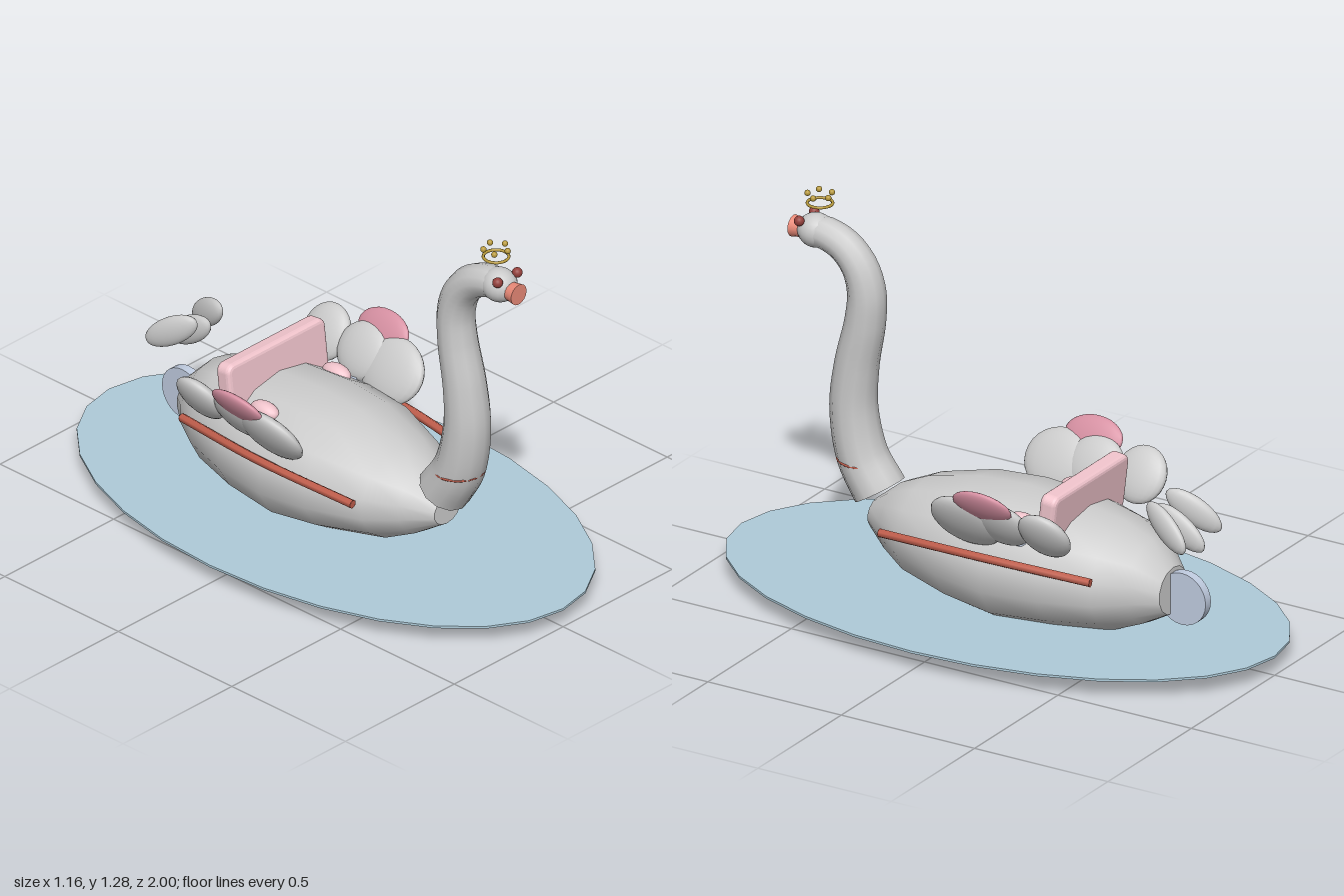
import * as THREE from 'three';

const paint = (color) => new THREE.MeshStandardMaterial({ color, side: THREE.DoubleSide });
const grey = paint(0xcccccc), pink = paint(0xf0c4cc), rose = paint(0xd690a2), red = paint(0xc4604e);
const coral = paint(0xea8a78), darkRed = paint(0x94403c), gold = paint(0xb89a3c);
const water = paint(0xaecbd9), pale = paint(0xc0cce0);

export function createModel() {
  const root = new THREE.Group();
  const add = (name, geometry, material, pos = [0, 0, 0], rot = [0, 0, 0], scale = [1, 1, 1]) => {
    const mesh = new THREE.Mesh(geometry, material);
    mesh.name = name;
    mesh.position.set(...pos);
    mesh.rotation.set(...rot);
    mesh.scale.set(...scale);
    root.add(mesh);
    return mesh;
  };
  const ball = new THREE.SphereGeometry(1, 20, 14);
  const V = (x, y, z) => new THREE.Vector3(x, y, z);

  // Water disc
  add('water', new THREE.CylinderGeometry(1, 1, 0.008, 28), water, [0, 0.066, 0], [0, 0, 0], [0.58, 1, 1]);

  // Hull: 14-sided sections from stern to bow
  add('body', hull([
    // z, bottom, top, half width
    [-0.62, 0.13, 0.29, 0.085], [-0.54, 0.085, 0.37, 0.155], [-0.44, 0.045, 0.41, 0.215],
    [-0.27, 0.022, 0.44, 0.268], [-0.07, 0.003, 0.452, 0.287], [0.11, 0.03, 0.44, 0.268],
    [0.30, 0.068, 0.395, 0.2], [0.4, 0.117, 0.35, 0.135], [0.49, 0.178, 0.277, 0.06],
  ], 14), grey);

  // Tapered S-shaped neck
  const path = new THREE.CatmullRomCurve3([
    [0.305, 0.48], [0.41, 0.545], [0.57, 0.578], [0.72, 0.567], [0.88, 0.535],
    [0.98, 0.53], [1.06, 0.555], [1.12, 0.61], [1.148, 0.68], [1.15, 0.73],
  ].map(([y, z]) => V(0, y, z)));
  add('neck', taperedTube(path, 40, 12, 0.089, 0.052), grey);
  add('collar', new THREE.TorusGeometry(0.082, 0.004, 6, 28), red, [0, 0.4, 0.545], [Math.PI / 2 - 0.05, 0, 0]);

  // Head, beak and eyes
  add('head', ball, grey, [0, 1.151, 0.72], [0, 0, 0], [0.057, 0.057, 0.062]);
  add('beak', new THREE.CylinderGeometry(0.036, 0.027, 0.06, 16), coral, [0, 1.147, 0.775], [Math.PI / 2, 0, 0]);

  // Crown: ring with five beads
  add('crownRing', new THREE.TorusGeometry(0.041, 0.005, 8, 28), gold, [0, 1.248, 0.705], [Math.PI / 2, 0, 0]);
  for (let i = 0; i < 5; i++) {
    const a = i * Math.PI * 2 / 5;
    add('crownBead', ball, gold, [0.041 * Math.cos(a), 1.278, 0.705 + 0.041 * Math.sin(a)], [0, 0, 0], [0.01, 0.01, 0.01]);
  }

  // Cockpit floor and backrest
  add('cockpitFloor', new THREE.CylinderGeometry(1, 1, 0.012, 28), pale, [0, 0.357, -0.16], [-0.15, 0, 0], [0.237, 1, 0.12]);
  add('backrest', roundedSlab(0.45, 0.2, 0.03, 0.015), pink, [0, 0.438, -0.278], [-0.12, 0, 0]);

  for (const s of [1, -1]) {
    add('eye', ball, darkRed, [s * 0.045, 1.19, 0.755], [0, 0, 0], [0.017, 0.017, 0.017]);
    add('cushion', ball, pink, [s * 0.165, 0.402, -0.155], [0, 0, 0], [0.032, 0.03, 0.056]);

    // Wing feathers leaning outwards
    for (const [material, pos, scale] of [
      [grey, [0.28, 0.417, -0.02], [0.036, 0.11, 0.13]],
      [grey, [0.283, 0.435, -0.15], [0.034, 0.096, 0.105]],
      [grey, [0.29, 0.435, -0.318], [0.034, 0.096, 0.093]],
      [rose, [0.335, 0.505, -0.112], [0.022, 0.068, 0.108]],
    ]) add('wingFeather', ball, material, [s * pos[0], pos[1], pos[2]], [0, 0, -s * 0.53], scale);

    // Side rail
    const rail = new THREE.CatmullRomCurve3([V(s * 0.257, 0.287, 0.32), V(s * 0.284, 0.303, -0.07), V(s * 0.233, 0.283, -0.455)]);
    add('sideRail', new THREE.TubeGeometry(rail, 16, 0.015, 6), red);
    for (const t of [0, 1]) {
      const cap = add('railEnd', new THREE.CircleGeometry(0.015, 6), red);
      cap.position.copy(rail.getPoint(t));
      cap.lookAt(cap.position.clone().addScaledVector(rail.getTangent(t), t ? 1 : -1));
    }
  }

  // Tail feathers fanned over the stern, with a round rudder below
  for (const k of [-1, 0, 1]) {
    add('tailFeather', ball, grey, [k * 0.083, k ? 0.462 : 0.432, -0.645], [-0.58, -k * 0.3, 0, 'YXZ'], [0.024, 0.047, 0.107]);
  }
  add('rudder', new THREE.CylinderGeometry(0.089, 0.089, 0.032, 28), pale, [0, 0.195, -0.662], [0, 0, Math.PI / 2]);

  return root;
}

// Closed loft of elliptical sections along z
function hull(sections, sides) {
  const pos = [], index = [];
  for (const [z, low, high, w] of sections) {
    for (let i = 0; i < sides; i++) {
      const a = i / sides * Math.PI * 2;
      pos.push(w * Math.sin(a), (low + high) / 2 - (high - low) / 2 * Math.cos(a), z);
    }
  }
  for (let r = 0; r < sections.length - 1; r++) {
    for (let i = 0; i < sides; i++) {
      const a = r * sides + i, b = r * sides + (i + 1) % sides;
      index.push(a, b, b + sides, a, b + sides, a + sides);
    }
  }
  // Flat end caps with their own corners
  for (const front of [false, true]) {
    const base = pos.length / 3, from = front ? (sections.length - 1) * sides : 0;
    for (let i = 0; i < sides * 3; i++) pos.push(pos[from * 3 + i]);
    for (let i = 1; i < sides - 1; i++) {
      index.push(base, ...(front ? [base + i, base + i + 1] : [base + i + 1, base + i]));
    }
  }
  const g = new THREE.BufferGeometry();
  g.setAttribute('position', new THREE.Float32BufferAttribute(pos, 3));
  g.setIndex(index);
  g.computeVertexNormals();
  return g;
}

// Tube whose radius runs from r0 to r1
function taperedTube(path, rows, sides, r0, r1) {
  const g = new THREE.TubeGeometry(path, rows, 1, sides);
  const p = g.attributes.position, v = new THREE.Vector3();
  for (let i = 0; i < p.count; i++) {
    const t = Math.floor(i / (sides + 1)) / rows;
    const c = path.getPointAt(t);
    v.fromBufferAttribute(p, i).sub(c).multiplyScalar(r0 + (r1 - r0) * t).add(c);
    p.setXYZ(i, v.x, v.y, v.z);
  }
  return g;
}

// Slab with rounded corners and bevelled edges
function roundedSlab(w, h, d, bevel) {
  const x = w / 2 - bevel, y = h / 2 - bevel, r = 0.015;
  const s = new THREE.Shape();
  s.absarc(x - r, y - r, r, 0, Math.PI / 2);
  s.absarc(r - x, y - r, r, Math.PI / 2, Math.PI);
  s.absarc(r - x, r - y, r, Math.PI, Math.PI * 1.5);
  s.absarc(x - r, r - y, r, Math.PI * 1.5, Math.PI * 2);
  return new THREE.ExtrudeGeometry(s, { depth: d, bevelThickness: bevel, bevelSize: bevel, bevelSegments: 3, curveSegments: 5 }).translate(0, 0, -d / 2);
}
